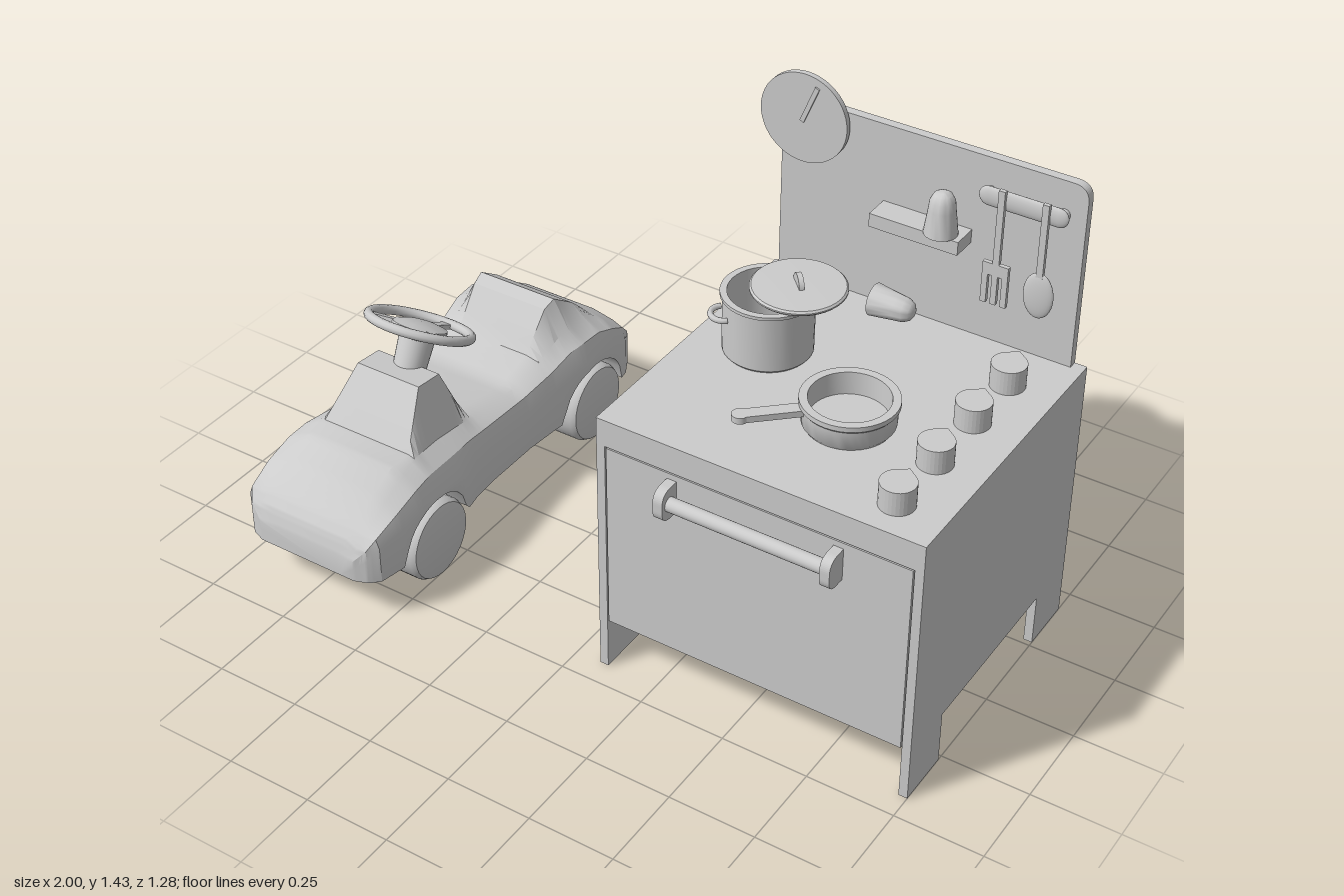
import * as THREE from 'three';
import { toCreasedNormals } from 'three/addons/utils/BufferGeometryUtils.js';

const mat = new THREE.MeshStandardMaterial({ color: 0xcccccc });

function add(parent, name, geo, x = 0, y = 0, z = 0) {
  const m = new THREE.Mesh(geo, mat);
  m.name = name;
  m.position.set(x, y, z);
  parent.add(m);
  return m;
}
function group(parent, name, x = 0, y = 0, z = 0) {
  const g = new THREE.Group();
  g.name = name;
  g.position.set(x, y, z);
  parent.add(g);
  return g;
}
// box from its lower and upper corners
const box = (p, name, a, b) => add(p, name, new THREE.BoxGeometry(b[0] - a[0], b[1] - a[1], b[2] - a[2]),
  (a[0] + b[0]) / 2, (a[1] + b[1]) / 2, (a[2] + b[2]) / 2);
const lathe = (pts, seg = 40) => toCreasedNormals(
  new THREE.LatheGeometry(pts.map(p => new THREE.Vector2(...p)), seg), 0.6);
const extrude = (shape, depth) => new THREE.ExtrudeGeometry(shape, { depth, bevelEnabled: false, curveSegments: 12 });
const cyl = (r, h, seg = 24, r2 = r) => new THREE.CylinderGeometry(r, r2, h, seg);

// bar on two rounded brackets, running along x and standing out to +z
function handle(parent, name, length, depth) {
  const g = group(parent, name);
  const s = new THREE.Shape();
  s.moveTo(0, -0.047);
  s.lineTo(depth - 0.035, -0.047);
  s.quadraticCurveTo(depth, -0.045, depth, -0.01);
  s.lineTo(depth, 0.01);
  s.quadraticCurveTo(depth, 0.045, depth - 0.035, 0.047);
  s.lineTo(0, 0.047);
  for (const x of [-length / 2 + 0.028, length / 2])
    add(g, 'handleBracket', extrude(s, 0.028).rotateY(-Math.PI / 2), x);
  add(g, 'handleBar', cyl(0.02, length - 0.04).rotateZ(Math.PI / 2), 0, 0, depth - 0.032);
  return g;
}

function buildCabinet(k) {
  // side panels with a leg at each end
  const side = new THREE.Shape([[-0.43, 0], [-0.265, 0], [-0.265, 0.155], [0.265, 0.155], [0.265, 0], [0.43, 0],
    [0.43, 0.808], [-0.43, 0.808]].map(p => new THREE.Vector2(...p)));
  for (const x of [0.1, 1]) add(k, 'sidePanel', extrude(side, 0.025).rotateY(-Math.PI / 2), x);
  box(k, 'cabinet', [0.1, 0.155, -0.43], [0.975, 0.8, 0.42]);
  box(k, 'worktop', [0.1, 0.728, -0.43], [0.975, 0.808, 0.43]);
  box(k, 'ovenDoor', [0.104, 0.158, 0.4], [0.971, 0.724, 0.43]);
  // back board with rounded top corners
  const b = new THREE.Shape();
  b.moveTo(0.1, 0.8); b.lineTo(0.965, 0.8); b.lineTo(0.965, 1.295);
  b.quadraticCurveTo(0.965, 1.34, 0.92, 1.34);
  b.lineTo(0.145, 1.34);
  b.quadraticCurveTo(0.1, 1.34, 0.1, 1.295);
  add(k, 'backBoard', extrude(b, 0.026), 0, 0, -0.431);
  handle(k, 'doorHandle', 0.5, 0.065).position.set(0.535, 0.66, 0.43);
  const h = handle(k, 'sideHandle', 0.32, 0.095);
  h.position.set(0.075, 0.588, -0.005);
  h.rotation.y = -Math.PI / 2;
  // control knobs with a pointed edge
  const s = new THREE.Shape();
  s.absarc(0, 0, 0.047, Math.PI * 0.72, Math.PI * 2.28);
  s.lineTo(0, 0.058);
  for (const z of [-0.25, -0.06, 0.135, 0.325])
    add(k, 'knob', extrude(s, 0.068).rotateX(-Math.PI / 2), 0.865, 0.808, z);
}

function buildWallItems(k) {
  const clock = group(k, 'clock', 0.175, 1.3, -0.388);
  add(clock, 'clockFace', cyl(0.128, 0.016, 48).rotateX(Math.PI / 2));
  add(clock, 'clockMount', cyl(0.03, 0.02).rotateX(Math.PI / 2), 0, 0, -0.012);
  add(clock, 'clockHand', new THREE.BoxGeometry(0.013, 0.115, 0.006), 0.018, 0.045, 0.01).rotation.z = -0.38;
  box(k, 'shelf', [0.405, 1.078, -0.405], [0.66, 1.117, -0.33]);
  // shakers, one standing and one lying on the worktop
  const shaker = lathe([[0, 0], [0.045, 0], [0.036, 0.07], [0.033, 0.095], [0.024, 0.112], [0.012, 0.119], [0, 0.121]], 28);
  add(k, 'standingShaker', shaker, 0.6, 1.117, -0.35);
  add(k, 'lyingShaker', shaker, 0.425, 0.853, -0.345).rotation.z = -Math.PI / 2;
  // utensil rail
  const r = group(k, 'utensilRail', 0.805, 1.245, -0.383);
  add(r, 'rail', new THREE.CapsuleGeometry(0.028, 0.19, 8, 16).rotateZ(Math.PI / 2)).scale.z = 0.35;
  for (const x of [-0.1, 0.1]) add(r, 'railMount', cyl(0.016, 0.03).rotateX(Math.PI / 2), x, 0, -0.012);
  const f = group(k, 'fork', 0.752, 0, -0.37);
  box(f, 'forkHandle', [-0.009, 1.05, -0.006], [0.009, 1.28, 0.006]);
  box(f, 'forkNeck', [-0.036, 1.03, -0.006], [0.036, 1.065, 0.006]);
  for (const x of [-0.028, 0, 0.028]) box(f, 'forkTine', [x - 0.008, 0.945, -0.006], [x + 0.008, 1.035, 0.006]);
  const sp = group(k, 'spoon', 0.872, 0, -0.37);
  box(sp, 'spoonHandle', [-0.009, 1.06, -0.006], [0.009, 1.28, 0.006]);
  add(sp, 'spoonBowl', new THREE.SphereGeometry(1, 24, 16), 0, 1.013, 0).scale.set(0.042, 0.067, 0.011);
}

function buildCookware(k) {
  const pot = group(k, 'pot', 0.275, 0.808, -0.06);
  add(pot, 'potBody', lathe([[0, 0], [0.112, 0], [0.119, 0.008], [0.12, 0.165], [0.126, 0.168], [0.126, 0.177],
    [0.108, 0.177], [0.108, 0.015], [0, 0.015]]));
  for (const a of [0, Math.PI]) {
    const loop = new THREE.TorusGeometry(0.035, 0.008, 8, 16, Math.PI).rotateX(Math.PI / 2).rotateY(Math.PI);
    const g = group(pot, 'potHandle', 0, 0.123, 0);
    add(g, 'potHandleLoop', loop, 0, 0, -0.117);
    g.rotation.y = -Math.PI / 4 + a;
  }
  const lid = group(k, 'potLid', 0.335, 0.985, -0.105);
  add(lid, 'lidDisc', lathe([[0, 0], [0.122, 0], [0.127, 0.005], [0.127, 0.009], [0.122, 0.014], [0, 0.018]]));
  add(lid, 'lidKnob', cyl(0.032, 0.014, 24).rotateX(Math.PI / 2), 0, 0.014, 0).rotation.y = -0.8;

  const pan = group(k, 'fryingPan', 0.61, 0.808, 0.107);
  add(pan, 'panBody', lathe([[0, 0], [0.113, 0], [0.12, 0.01], [0.122, 0.058], [0.127, 0.064], [0.127, 0.078],
    [0.105, 0.078], [0.102, 0.014], [0, 0.014]]));
  const arm = group(pan, 'panHandle', 0, 0.055, 0);
  box(arm, 'panHandleBar', [0.11, -0.009, -0.018], [0.28, 0.009, 0.018]);
  add(arm, 'panHandleEnd', cyl(0.022, 0.018), 0.275);
  arm.rotation.y = -Math.PI * 0.76;
}

// body lofted along z; each row: z, side width, side top, shoulder width, shoulder height, deck width, deck height
function carBodyGeometry(axles) {
  const keys = [
    [-0.64, 0.16, 0.17, 0.15, 0.185, 0.1, 0.19], [-0.615, 0.205, 0.2, 0.18, 0.235, 0.11, 0.24],
    [-0.56, 0.235, 0.24, 0.19, 0.3, 0.12, 0.315], [-0.49, 0.247, 0.275, 0.2, 0.345, 0.13, 0.36],
    [-0.43, 0.247, 0.29, 0.19, 0.37, 0.135, 0.415], [-0.35, 0.247, 0.28, 0.18, 0.38, 0.13, 0.47],
    [-0.31, 0.24, 0.28, 0.17, 0.37, 0.125, 0.455], [-0.22, 0.225, 0.26, 0.165, 0.335, 0.12, 0.345],
    [-0.1, 0.215, 0.25, 0.155, 0.31, 0.115, 0.31], [0.08, 0.215, 0.25, 0.155, 0.325, 0.11, 0.335],
    [0.16, 0.22, 0.25, 0.155, 0.34, 0.105, 0.5], [0.25, 0.237, 0.255, 0.155, 0.35, 0.105, 0.51],
    [0.36, 0.245, 0.265, 0.165, 0.36, 0.145, 0.367], [0.43, 0.245, 0.265, 0.175, 0.345, 0.14, 0.362],
    [0.52, 0.24, 0.25, 0.18, 0.31, 0.14, 0.325], [0.6, 0.225, 0.235, 0.18, 0.262, 0.14, 0.268],
    [0.625, 0.2, 0.2, 0.17, 0.232, 0.13, 0.24], [0.64, 0.16, 0.165, 0.14, 0.19, 0.1, 0.195]];
  const floor = 0.125, rings = [];
  const ring = ([z, w, ys, wm, ym, wt, yt]) => {
    // wheel arches lift the outer lower edge
    let arch = floor;
    for (const c of axles) {
      const d = 0.0196 - (z - c) ** 2;
      if (d > 0) arch = Math.max(arch, 0.12 + Math.sqrt(d));
    }
    const half = [[0.11, floor], [0.11, arch], [w, arch], [w, Math.max(ys, arch + 0.004)],
      [(w + wm) / 2 + 0.012, (ys + ym) / 2 + 0.015], [wm, ym], [wt, yt]];
    return [...half, ...half.map(([x, y]) => [-x, y]).reverse()].map(([x, y]) => [x, y, z]);
  };
  for (let i = 0; i < keys.length - 1; i++)
    for (let t = 0; t < 5; t++) rings.push(ring(keys[i].map((v, j) => v + (keys[i + 1][j] - v) * t / 5)));
  rings.push(ring(keys[keys.length - 1]));
  const pos = [], tri = (...p) => p.forEach(v => pos.push(...v)), n = rings[0].length;
  for (let s = 0; s < rings.length - 1; s++)
    for (let j = 0; j < n; j++) {
      const a = rings[s][j], b = rings[s][(j + 1) % n], c = rings[s + 1][(j + 1) % n], d = rings[s + 1][j];
      tri(a, b, d);
      tri(b, c, d);
    }
  const first = rings[0], last = rings[rings.length - 1];
  for (let j = 1; j < n - 1; j++) {
    tri(first[0], first[j + 1], first[j]);
    tri(last[0], last[j], last[j + 1]);
  }
  const g = new THREE.BufferGeometry();
  g.setAttribute('position', new THREE.Float32BufferAttribute(pos, 3));
  return toCreasedNormals(g, 0.5);
}

function buildCar(parent) {
  const car = group(parent, 'rideOnCar', -0.742, 0, 0);
  const axles = [0.37, -0.39];
  add(car, 'carBody', carBodyGeometry(axles));
  const wheel = lathe([[0, -0.062], [0.09, -0.062], [0.113, -0.055], [0.121, -0.04], [0.121, 0.04],
    [0.113, 0.055], [0.09, 0.062], [0, 0.062]], 32).rotateZ(Math.PI / 2);
  for (const z of axles) for (const s of [-1, 1]) add(car, 'wheel', wheel, s * 0.194, 0.121, z);
  // steering wheel, tilted towards the seat
  const st = group(car, 'steeringWheel', 0, 0.588, 0.1);
  st.rotation.x = -0.49;
  add(st, 'rim', new THREE.TorusGeometry(0.145, 0.014, 10, 48).rotateX(Math.PI / 2));
  add(st, 'hub', lathe([[0, -0.035], [0.05, -0.035], [0.08, -0.015], [0.078, 0], [0.05, 0.008], [0, 0.012]], 32));
  add(st, 'column', cyl(0.052, 0.14, 24, 0.045), 0, -0.09, 0);
  for (let i = 0; i < 3; i++) {
    const spoke = group(st, 'spoke');
    box(spoke, 'spokeBar', [0.06, -0.012, -0.014], [0.142, 0.002, 0.014]);
    spoke.rotation.y = Math.PI / 2 + i * Math.PI * 2 / 3;
  }
}

export function createModel() {
  const root = new THREE.Group();
  root.name = 'toySet';
  const kitchen = group(root, 'playKitchen');
  buildCabinet(kitchen);
  buildWallItems(kitchen);
  buildCookware(kitchen);
  buildCar(root);
  return root;
}
